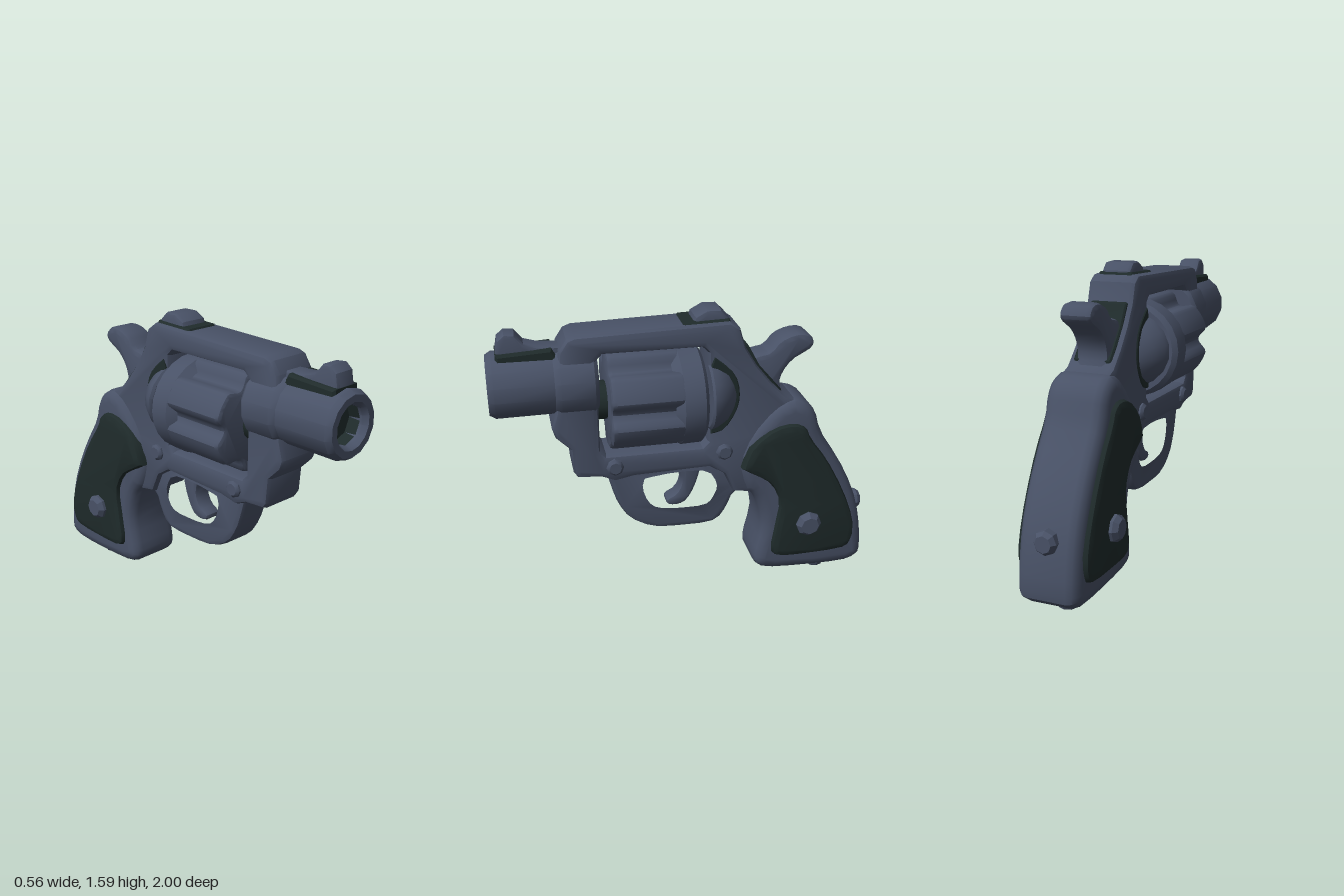
import * as THREE from 'three';
import { toCreasedNormals } from 'three/addons/utils/BufferGeometryUtils.js';

const steel = new THREE.MeshStandardMaterial({ color: 0x485166 });
steel.name = 'blue grey steel';
const dark = new THREE.MeshStandardMaterial({ color: 0x1f2b2b });
dark.name = 'dark green black';

const CREASE = 0.6;
const BORE_Y = 1.26, DRUM_Y = 1.135;

function add(group, name, geometry, material, x = 0, y = 0, z = 0) {
  const mesh = new THREE.Mesh(toCreasedNormals(geometry, CREASE), material);
  mesh.name = name;
  mesh.position.set(x, y, z);
  group.add(mesh);
  return mesh;
}

// Closed outline from [z, y] pairs, straight or smoothed
function outline(points, smooth, Type = THREE.Shape) {
  const v = points.map(([a, b]) => new THREE.Vector2(a, b));
  const s = new Type();
  if (!smooth) return s.setFromPoints(v);
  s.moveTo(v[0].x, v[0].y);
  s.splineThru([...v.slice(1), v[0]]);
  return s;
}

// Side profile extruded across the width, bevelled inside its outline
function slab(shape, halfWidth, bevel, steps = 2) {
  const g = new THREE.ExtrudeGeometry(shape, {
    depth: 2 * (halfWidth - bevel), curveSegments: 2, bevelEnabled: true,
    bevelThickness: bevel, bevelSize: bevel, bevelOffset: -bevel, bevelSegments: steps,
  });
  g.translate(0, 0, -(halfWidth - bevel));
  return g.rotateY(-Math.PI / 2);
}

// Turned part along z from [radius, z] pairs
function turned(points, sides = 14) {
  const g = new THREE.LatheGeometry(points.map(([r, z]) => new THREE.Vector2(r, z)), sides);
  return g.rotateX(Math.PI / 2);
}

// Low domed screw head pointing along +z
const stud = (r, h) => turned([[r, -0.06], [r, h * 0.45], [r * 0.7, h], [0, h]], 8);

export function createModel() {
  const model = new THREE.Group();
  model.name = 'revolver';

  // Frame with the drum window
  const frame = outline([
    [0.65, 1.44], [0.61, 1.5], [0.57, 1.515], [-0.2, 1.535], [-0.25, 1.5], [-0.28, 1.4], [-0.34, 1.3],
    [-0.42, 1.2], [-0.5, 1.12], [-0.6, 1.08], [-0.64, 0.95], [-0.5, 0.75], [-0.34, 0.57], [-0.23, 0.59],
    [-0.18, 0.7], [-0.1, 0.75], [0.3, 0.74], [0.4, 0.72], [0.47, 0.75], [0.59, 0.76], [0.61, 0.79],
    [0.62, 0.92], [0.69, 0.99], [0.705, 1.04], [0.68, 1.13],
  ], false);
  frame.holes.push(outline([
    [0.47, 0.9], [0.44, 0.87], [-0.06, 0.87], [-0.09, 0.9], [-0.09, 1.385],
    [-0.06, 1.415], [0.44, 1.415], [0.47, 1.385],
  ], false, THREE.Path));
  add(model, 'frame', slab(frame, 0.13, 0.03), steel);

  // Barrel, bore and the collar behind it
  add(model, 'barrel', turned([
    [0.165, 0.6], [0.168, 0.97], [0.15, 1], [0.115, 1], [0.1, 0.97], [0.1, 0.9],
  ]), steel, 0, BORE_Y);
  add(model, 'bore', turned([[0.1, 0.96], [0.098, 0.9], [0, 0.9]], 8), dark, 0, BORE_Y);
  add(model, 'barrelCollar', turned([
    [0, 0.465], [0.165, 0.465], [0.182, 0.485], [0.182, 0.65], [0.165, 0.68], [0.1, 0.68],
  ]), steel, 0, BORE_Y);

  // Sights on dark bases
  add(model, 'frontSightBase', slab(outline([
    [0.95, 1.38], [0.95, 1.435], [0.68, 1.45], [0.64, 1.38]], false), 0.085, 0.012, 1), dark);
  add(model, 'frontSight', slab(outline([
    [0.95, 1.42], [0.935, 1.5], [0.9, 1.53], [0.85, 1.525], [0.81, 1.475], [0.74, 1.455], [0.63, 1.45],
    [0.63, 1.38], [0.93, 1.38]], false), 0.062, 0.018), steel);
  add(model, 'rearSightBase', slab(outline([
    [0.05, 1.5], [0.03, 1.538], [-0.2, 1.545], [-0.22, 1.5]], false), 0.095, 0.01, 1), dark);
  add(model, 'rearSight', slab(outline([
    [-0.01, 1.5], [-0.03, 1.56], [-0.09, 1.592], [-0.16, 1.59], [-0.2, 1.55], [-0.21, 1.48]],
  false), 0.08, 0.02), steel);

  // Drum: fluted front, plain rear ring
  const drumShape = new THREE.Shape();
  const rim = [];
  for (let i = 0; i < 90; i++) {
    const a = (i / 90) * Math.PI * 2;
    const step = Math.PI / 3;
    const off = Math.abs(a - Math.round(a / step) * step) / 0.24;
    const r = 0.278 - (off < 1 ? 0.055 * Math.cos(off * Math.PI / 2) : 0);
    rim.push(new THREE.Vector2(r * Math.cos(a), r * 0.93 * Math.sin(a)));
  }
  drumShape.setFromPoints(rim);
  const fluted = new THREE.ExtrudeGeometry(drumShape, {
    depth: 0.33, bevelEnabled: true, bevelThickness: 0.025, bevelSize: 0.02, bevelOffset: -0.02, bevelSegments: 2,
  });
  add(model, 'flutedDrum', fluted, steel, 0, DRUM_Y, 0.065);
  const ring = turned([[0, -0.065], [0.25, -0.065], [0.275, -0.045], [0.278, 0.06], [0.235, 0.1]], 24);
  add(model, 'drumRear', ring.scale(1, 0.93, 1), steel, 0, DRUM_Y);
  add(model, 'drumAxle', turned([[0, -0.1], [0.1, -0.1], [0.1, 0.48], [0, 0.48]], 12), dark, 0, DRUM_Y);

  // Recoil shield
  const dome = turned([
    [0, -0.25], [0.13, -0.235], [0.2, -0.19], [0.24, -0.13], [0.25, -0.1], [0.235, -0.09], [0, -0.09],
  ], 18);
  add(model, 'recoilShield', dome.scale(1, 0.82, 1), steel, 0, DRUM_Y + 0.01);
  const seat = slab(outline([
    [-0.1, 0.95], [-0.17, 0.97], [-0.23, 1.06], [-0.25, 1.15], [-0.23, 1.25], [-0.17, 1.32], [-0.1, 1.34]],
  true), 0.136, 0.005, 1);
  add(model, 'shieldSeat', seat, dark);

  // Trigger guard and trigger
  const guard = outline([
    [0.44, 0.76], [0.42, 0.68], [0.385, 0.57], [0.32, 0.47], [0.2, 0.405], [0.04, 0.392], [-0.13, 0.4],
    [-0.2, 0.47], [-0.24, 0.56], [-0.29, 0.6], [-0.24, 0.78], [0.1, 0.8],
  ], true);
  guard.holes.push(outline([
    [0.26, 0.73], [0.28, 0.66], [0.25, 0.56], [0.18, 0.5], [0.03, 0.485], [-0.1, 0.495],
    [-0.155, 0.56], [-0.17, 0.64], [-0.1, 0.74], [0.1, 0.75],
  ], true, THREE.Path));
  add(model, 'triggerGuard', slab(guard, 0.095, 0.025), steel);
  add(model, 'trigger', slab(outline([
    [0.08, 0.78], [-0.07, 0.78], [-0.065, 0.7], [-0.035, 0.6], [0.01, 0.525], [0.06, 0.503], [0.11, 0.51],
    [0.115, 0.54], [0.065, 0.57], [0.035, 0.63], [0.045, 0.7],
  ], true), 0.05, 0.015), steel);

  // Hammer with a dark slot beneath it
  add(model, 'hammer', slab(outline([
    [-0.31, 1.3], [-0.35, 1.335], [-0.42, 1.35], [-0.47, 1.405], [-0.55, 1.437], [-0.62, 1.43], [-0.655, 1.385],
    [-0.63, 1.345], [-0.55, 1.3], [-0.5, 1.24], [-0.48, 1.17], [-0.5, 1.08], [-0.36, 1.1],
  ], true), 0.085, 0.028), steel);
  add(model, 'hammerSlot', slab(outline([
    [-0.27, 1.41], [-0.3, 1.4], [-0.36, 1.29], [-0.48, 1.15], [-0.48, 1.1], [-0.3, 1.2]], false),
  0.1, 0.008, 1), dark);

  // Grip body and the panels on both sides
  add(model, 'grip', slab(outline([
    [-0.3, 0.6], [-0.26, 0.74], [-0.31, 0.9], [-0.42, 1.04], [-0.52, 1.1], [-0.61, 1.08], [-0.67, 1.01],
    [-0.71, 0.89], [-0.83, 0.7], [-0.925, 0.5], [-0.97, 0.32], [-0.985, 0.15], [-0.96, 0.1], [-0.88, 0.07],
    [-0.65, 0.07], [-0.43, 0.085], [-0.36, 0.13], [-0.358, 0.2], [-0.388, 0.34], [-0.38, 0.45], [-0.345, 0.55],
  ], true), 0.16, 0.06, 3), steel);
  add(model, 'gripPanels', slab(outline([
    [-0.265, 0.74], [-0.31, 0.86], [-0.42, 0.955], [-0.53, 0.98], [-0.605, 0.95], [-0.64, 0.88], [-0.74, 0.74],
    [-0.85, 0.53], [-0.915, 0.34], [-0.905, 0.23], [-0.85, 0.185], [-0.65, 0.175], [-0.49, 0.18], [-0.44, 0.23],
    [-0.46, 0.39], [-0.475, 0.53], [-0.42, 0.64], [-0.33, 0.7],
  ], true), 0.19, 0.035), dark);

  // Screws on both sides
  for (const side of [-1, 1]) {
    const screws = [['gripScrew', 0.07, 0.045, 0.185, 0.385, -0.64],
      ['frontScrew', 0.045, 0.025, 0.128, 0.81, 0.4], ['rearScrew', 0.045, 0.025, 0.128, 0.84, -0.175]];
    for (const [name, r, h, x, y, z] of screws) {
      add(model, name, stud(r, h), steel, side * x, y, z).rotation.y = side * Math.PI / 2;
    }
  }

  // Studs on the back and the base of the grip
  add(model, 'backStud', stud(0.06, 0.04), steel, 0, 0.4, -0.96).rotation.y = Math.PI;
  add(model, 'baseStud', stud(0.065, 0.07), steel, 0, 0, -0.76).rotation.x = Math.PI / 2;
  model.getObjectByName('baseStud').position.y = 0.07;

  return model;
}
